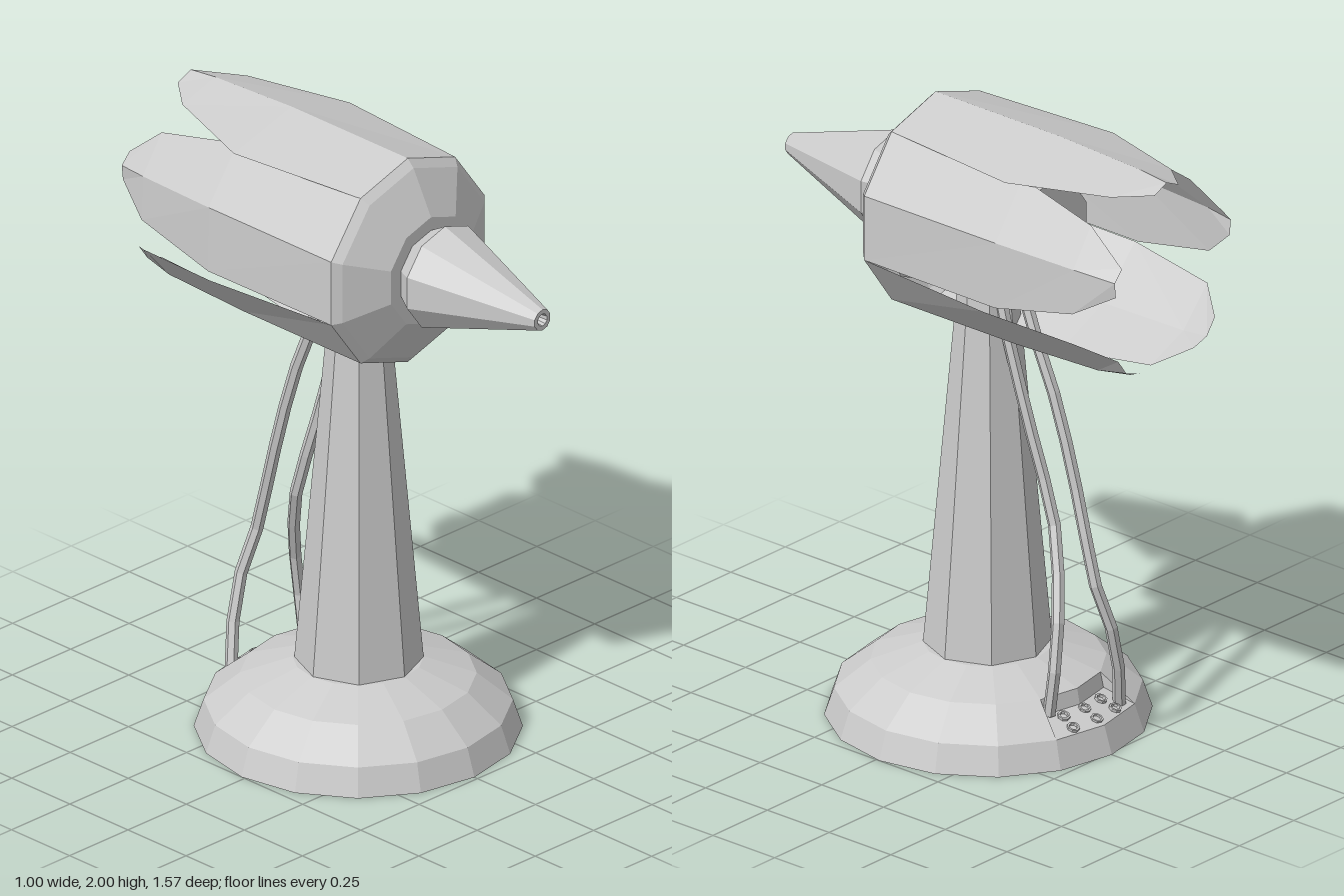
import * as THREE from 'three';

const material = new THREE.MeshStandardMaterial({ color: 0xcccccc, flatShading: true, side: THREE.DoubleSide });

function add(parent, name, geometry) {
  const mesh = new THREE.Mesh(geometry, material);
  mesh.name = name;
  parent.add(mesh);
  return mesh;
}

// Lathe from [radius, height] pairs
function lathe(profile, segments, start = 0, length = Math.PI * 2) {
  return new THREE.LatheGeometry(profile.map(([r, y]) => new THREE.Vector2(r, y)), segments, start, length);
}

// Ridged petal from rows of [z, half width, edge radius, ridge radius], pointing up
function petalGeometry(rows) {
  const positions = [], index = [];
  rows.forEach(([z, w, edge, ridge], i) => {
    positions.push(-w, edge, z, 0, ridge, z, w, edge, z);
    if (i === 0) return;
    for (let k = 0; k < 2; k++) {
      const a = (i - 1) * 3 + k, b = a + 3;
      index.push(a, a + 1, b, b, a + 1, b + 1);
    }
  });
  const g = new THREE.BufferGeometry();
  g.setAttribute('position', new THREE.Float32BufferAttribute(positions, 3));
  g.setIndex(index);
  g.computeVertexNormals();
  return g;
}

function buildBase() {
  const base = new THREE.Group();
  base.name = 'base';
  base.position.z = -0.013;
  const cut = Math.PI / 8;

  // Domed foot with a recess left open at the back
  add(base, 'foot', lathe([[0, 0], [0.5, 0], [0.47, 0.09], [0.36, 0.18], [0.2, 0.235], [0, 0.235]],
    14, Math.PI + cut, Math.PI * 2 - cut * 2));
  add(base, 'socketPanel', lathe([[0, 0], [0.5, 0], [0.47, 0.09], [0.37, 0.13], [0.36, 0.18], [0.2, 0.235], [0, 0.235]],
    2, Math.PI - cut, cut * 2));

  // Side walls of the recess
  for (const side of [-1, 1]) {
    const shape = new THREE.Shape([[0.47, 0.09], [0.37, 0.13], [0.36, 0.18]].map(([x, y]) => new THREE.Vector2(x, y)));
    add(base, 'recessWall', new THREE.ShapeGeometry(shape)).rotation.y = Math.PI / 2 + side * cut;
  }

  // Two rows of sockets
  for (const [r, y] of [[0.445, 0.1], [0.395, 0.12]]) {
    for (const a of [-0.22, 0, 0.22]) {
      const pivot = new THREE.Group();
      pivot.name = 'socketMount';
      pivot.rotation.y = Math.PI + a;
      const socket = add(pivot, 'socket', lathe([[0.02, -0.006], [0.02, 0.008], [0.014, 0.008], [0.012, 0], [0, 0]], 8));
      socket.position.set(0, y, r * 0.985);
      socket.rotation.x = 0.38;
      base.add(pivot);
    }
  }
  return base;
}

function buildHead() {
  const head = new THREE.Group();
  head.name = 'head';
  head.position.y = 1.652;

  // Turned parts along the z axis
  const turned = {
    frontShell: [[0.345, 0.2], [0.32, 0.225], [0.18, 0.3], [0, 0.3]],
    core: [[0, -0.26], [0.18, -0.26], [0.27, 0.2]],
    nozzle: [[0.13, 0.29], [0.17, 0.36], [0.035, 0.78], [0.02, 0.78], [0.014, 0.72], [0, 0.72]],
  };
  for (const [name, profile] of Object.entries(turned)) {
    add(head, name, lathe(profile, 10)).rotation.x = Math.PI / 2;
  }

  // Five petals round the body, starting at the top
  const root = [0.2, 0.203, 0.279, 0.345];
  const top = [root, [-0.3, 0.248, 0.272, 0.345], [-0.63, 0.14, 0.285, 0.33], [-0.735, 0.055, 0.293, 0.318]];
  const side = (tip) => [root, [-0.33, 0.205, 0.279, 0.343], [-0.63, 0.14, 0.285, 0.325], [tip, 0.045, 0.29, 0.31]];
  const low = [root, [-0.3, 0.21, 0.305, 0.345], [-0.63, 0.16, 0.3, 0.335], [-0.735, 0.06, 0.295, 0.315]];
  [top, side(-0.735), low, low, side(-0.785)].forEach((rows, i) => {
    add(head, 'petal', petalGeometry(rows)).rotation.z = i * Math.PI * 2 / 5;
  });
  return head;
}

export function createModel() {
  const model = new THREE.Group();
  model.name = 'deskBlaster';
  model.add(buildBase(), buildHead());

  // Tapered column
  const column = add(model, 'column', new THREE.CylinderGeometry(0.085, 0.197, 1.27, 8));
  column.position.set(0, 0.865, -0.01);

  // Cables hanging from the head and crossing behind the column
  const cables = [
    [[0.03, 1.42, -0.085], [0.03, 1.3, -0.115], [0.01, 0.97, -0.2], [0.0, 0.7, -0.28], [0.06, 0.5, -0.35], [0.11, 0.34, -0.385], [0.12, 0.13, -0.365]],
    [[0.0, 1.42, -0.16], [0.0, 1.3, -0.205], [-0.01, 1.1, -0.28], [-0.02, 0.8, -0.36], [-0.02, 0.53, -0.43], [-0.08, 0.33, -0.458], [-0.14, 0.09, -0.42]],
  ];
  for (const points of cables) {
    const curve = new THREE.CatmullRomCurve3(points.map((p) => new THREE.Vector3(...p)));
    add(model, 'cable', new THREE.TubeGeometry(curve, 9, 0.02, 6));
  }
  return model;
}
